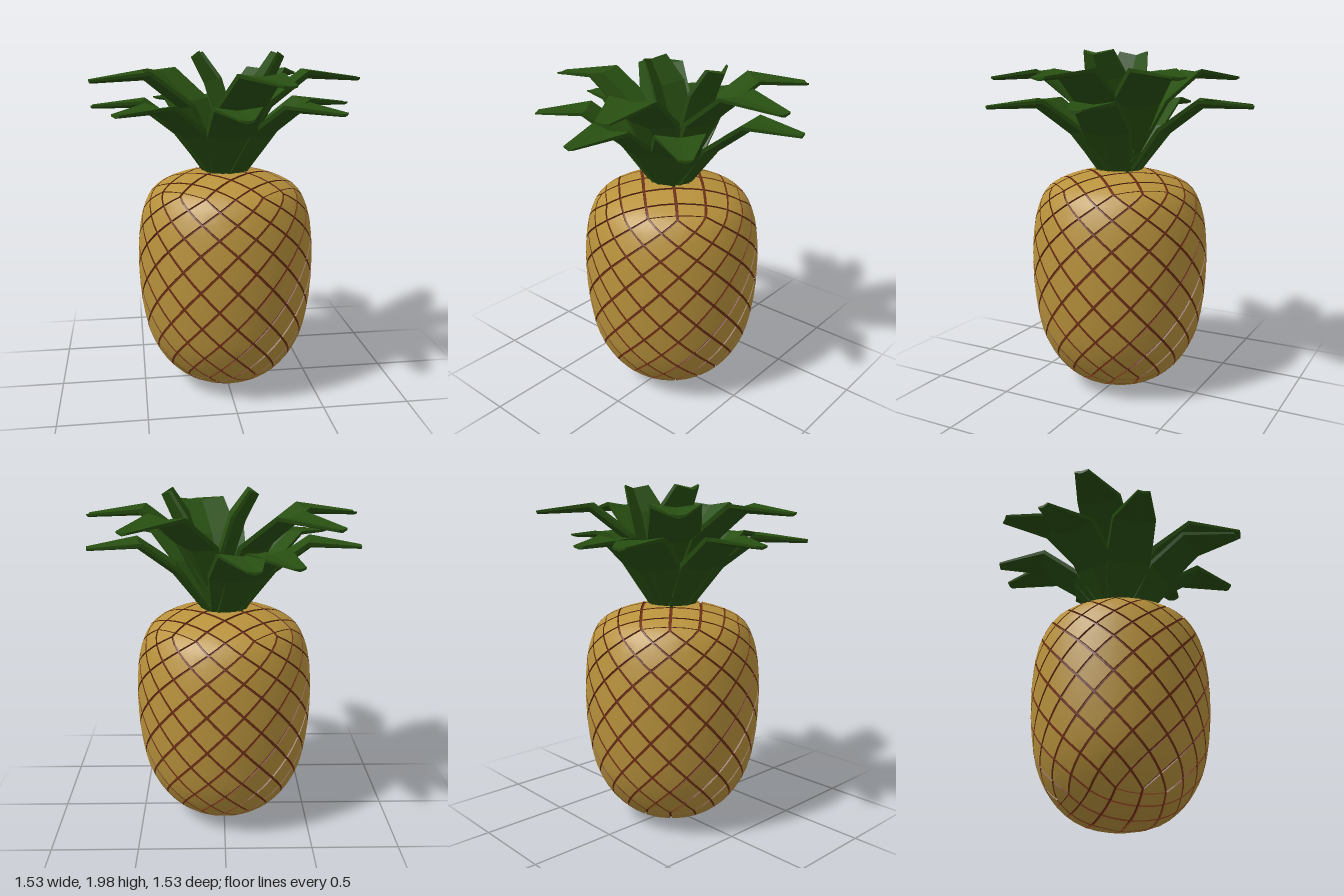
import * as THREE from 'three';
import { toCreasedNormals } from 'three/addons/utils/BufferGeometryUtils.js';

const skin = new THREE.MeshStandardMaterial({ color: 0xb8923c });
const groove = new THREE.MeshStandardMaterial({ color: 0x6e3016 });
const green = new THREE.MeshStandardMaterial({ color: 0x284f11, flatShading: true });

function geometryFrom(points) {
  const g = new THREE.BufferGeometry().setFromPoints(points);
  g.computeVertexNormals();
  return g;
}

// Fruit outline (radius, height): two rows of cells per cap, six rows on the sides
const outline = new THREE.SplineCurve([
  [0, 0], [0.21, 0.04], [0.355, 0.145], [0.455, 0.31], [0.5, 0.505], [0.517, 0.72],
  [0.511, 0.925], [0.48, 1.09], [0.405, 1.215], [0.22, 1.293], [0, 1.315],
].map(([r, y]) => new THREE.Vector2(r, y)));

// Point at a row (-5 bottom to 5 top) and an angle around the fruit
function fruitPoint(row, phi, scale) {
  const p = outline.getPoint(THREE.MathUtils.clamp(row / 10 + 0.5, 0, 1));
  return new THREE.Vector3(
    p.x * Math.cos(phi) * scale, 0.66 + (p.y - 0.66) * scale, p.x * Math.sin(phi) * scale);
}

// One of four sides, u from -2 to 2 and v from -3 to 3
const sidePoint = quarter => (u, v, scale) =>
  fruitPoint(v, quarter * Math.PI / 2 - u * Math.PI / 8, scale);

// Top (sign 1) or bottom (sign -1) cap, a square rounded into a disc
const capPoint = sign => (u, v, scale) => {
  const [a, b] = [u, v].map(t => Math.SQRT2 * Math.sin(t * Math.PI / 8));
  const s = a * Math.sqrt(1 - b * b / 2), t = b * Math.sqrt(1 - a * a / 2);
  const phi = sign > 0 ? Math.atan2(s, t) : Math.atan2(t, s);
  return fruitPoint(sign * (5 - 2 * Math.hypot(s, t)), phi, scale);
};

// Diamond plates separated by sunken grooves
function makeFruit() {
  const plates = [], grooves = [];
  const corners = [[0.5, 0], [0, 0.5], [-0.5, 0], [0, -0.5]];
  const INSET = 0.9, LOW = 0.983;

  function diamond(point, cu, cv, vMax) {
    corners.forEach((c0, k) => {
      const c1 = corners[(k + 1) % 4];
      // Keep only the quarters that lie on this side
      if ([c0, c1].some(c => Math.abs(cu + c[0]) > 2 || Math.abs(cv + c[1]) > vMax)) return;
      const at = (c, s, depth) => point(cu + c[0] * s, cv + c[1] * s, depth);
      const mid = [(c0[0] + c1[0]) / 2, (c0[1] + c1[1]) / 2];
      for (const [p, q] of [[c0, mid], [mid, c1]]) {
        const P = at(p, INSET, 1), Q = at(q, INSET, 1);
        const p1 = at(p, INSET, LOW), q1 = at(q, INSET, LOW);
        const p2 = at(p, 1, LOW), q2 = at(q, 1, LOW);
        plates.push(at(p, 0, 1), P, Q);
        grooves.push(P, p1, q1, P, q1, Q, p1, p2, q2, p1, q2, q1);
      }
    });
  }

  function face(point, vMax) {
    for (let u = -2; u <= 2; u += 0.5) {
      for (let v = -vMax; v <= vMax; v += 0.5) {
        if (Number.isInteger(u) !== Number.isInteger(v)) diamond(point, u, v, vMax);
      }
    }
  }

  for (let quarter = 0; quarter < 4; quarter++) face(sidePoint(quarter), 3);
  for (const sign of [1, -1]) face(capPoint(sign), 2);

  const fruit = new THREE.Group();
  fruit.name = 'fruit';
  const plateMesh = new THREE.Mesh(toCreasedNormals(geometryFrom(plates), 0.6), skin);
  plateMesh.name = 'diamondPlates';
  const grooveMesh = new THREE.Mesh(geometryFrom(grooves), groove);
  grooveMesh.name = 'grooves';
  fruit.add(plateMesh, grooveMesh);
  return fruit;
}

// Leaf swept through rows of [reach, height, half width], cupped across its width
function leafGeometry(rows, cupping) {
  const rings = rows.map(([r, y, w], i) => {
    const a = rows[Math.max(i - 1, 0)], b = rows[Math.min(i + 1, rows.length - 1)];
    const n = new THREE.Vector2(a[1] - b[1], b[0] - a[0]).normalize();
    const cup = w * cupping, edge = cup - 0.006 - w * 0.12, keel = -0.008 - w * 0.2;
    return [[-w, cup], [0, 0], [w, cup], [w * 0.95, edge], [0, keel], [-w * 0.95, edge]]
      .map(([z, h]) => new THREE.Vector3(r + n.x * h, y + n.y * h, z));
  });
  const tris = [];
  for (let i = 0; i < rings.length - 1; i++) {
    for (let k = 0; k < 6; k++) {
      const m = (k + 1) % 6;
      const [a, b, c, d] = [rings[i][k], rings[i][m], rings[i + 1][m], rings[i + 1][k]];
      tris.push(a, b, c, a, c, d);
    }
  }
  const first = rings[0], last = rings[rings.length - 1];
  for (const [j, k] of [[2, 3], [3, 4], [4, 5], [5, 0]]) {
    tris.push(last[1], last[j], last[k], first[1], first[k], first[j]);
  }
  return geometryFrom(tris);
}

function makeCrown() {
  const crown = new THREE.Group();
  crown.name = 'crown';
  const layers = [
    { name: 'lowerLeaf', angles: [-100, -117.5, -172, 144, 90, 74, 44.5, -11].filter(a => a !== 74),
      cupping: 0.14, z: 0,
      rows: [[0.08, 1.28, 0.09], [0.27, 1.54, 0.14], [0.48, 1.695, 0.13], [0.765, 1.675, 0.035]] },
    { name: 'upperLeaf', angles: [-139, 170, 74, 4, -49], cupping: 0.14, z: 0,
      rows: [[0.03, 1.3, 0.08], [0.24, 1.69, 0.15], [0.46, 1.86, 0.135], [0.765, 1.83, 0.04]] },
    { name: 'leftUprightLeaf', angles: [0], cupping: 0.45, z: -0.02,
      rows: [[0.06, 1.3, 0.08], [0.19, 1.63, 0.13], [0.25, 1.82, 0.13], [0.32, 1.96, 0.09]] },
    { name: 'rightUprightLeaf', angles: [180], cupping: 0.45, z: -0.02,
      rows: [[-0.03, 1.3, 0.08], [0.03, 1.63, 0.13], [0.09, 1.82, 0.13], [0.17, 1.96, 0.09]] },
  ];
  for (const { name, angles, cupping, z, rows } of layers) {
    const geometry = leafGeometry(rows, cupping);
    for (const angle of angles) {
      const leaf = new THREE.Mesh(geometry, green);
      leaf.name = name;
      leaf.rotation.y = -THREE.MathUtils.degToRad(angle);
      leaf.position.z = z;
      crown.add(leaf);
    }
  }
  // Short core that closes the middle of the crown
  const core = new THREE.Mesh(new THREE.CylinderGeometry(0.08, 0.11, 0.2, 8), green);
  core.name = 'crownCore';
  core.position.y = 1.37;
  crown.add(core);
  return crown;
}

export function createModel() {
  const model = new THREE.Group();
  model.name = 'pineapple';
  model.add(makeFruit(), makeCrown());
  return model;
}
